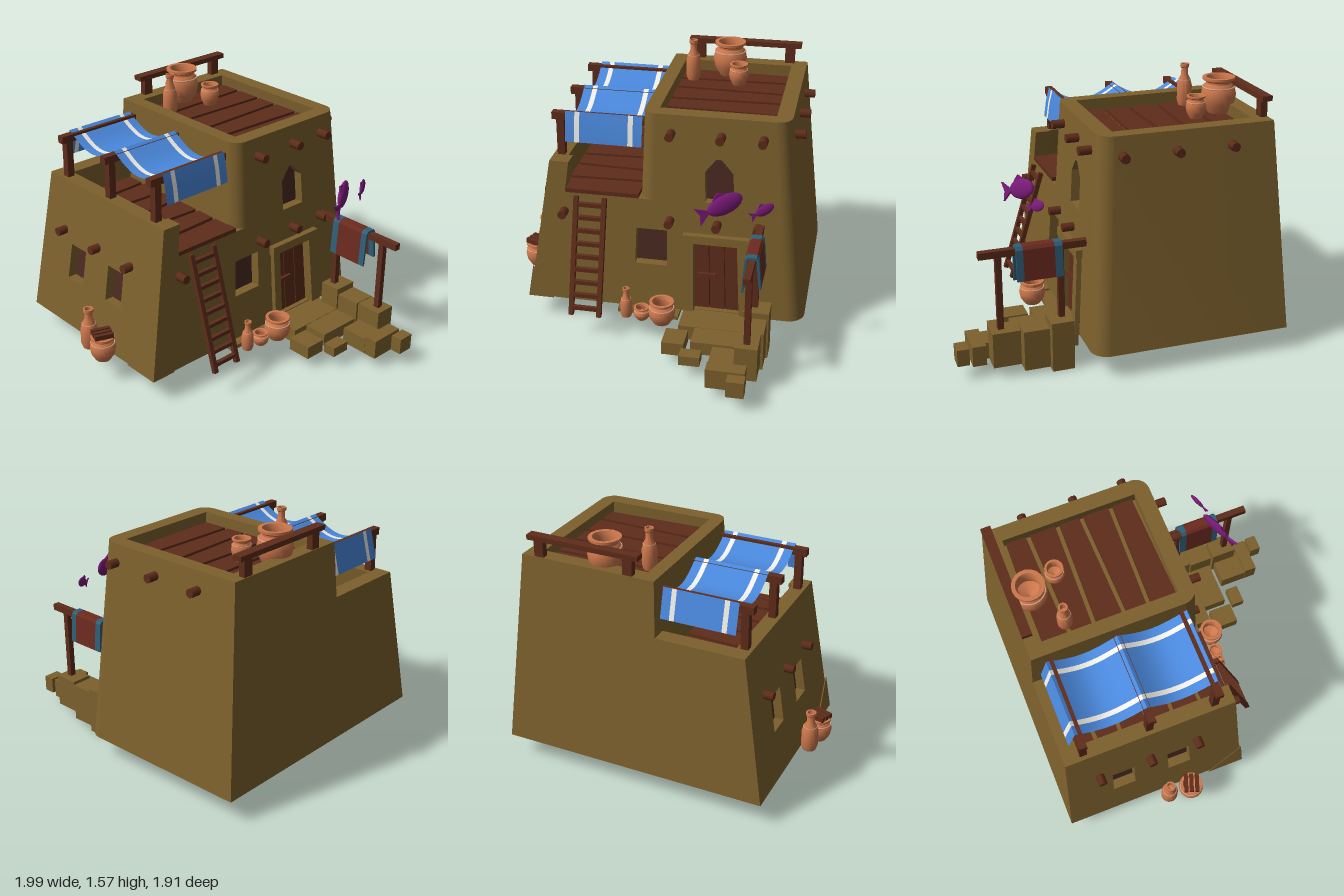
import * as THREE from 'three';
import { toCreasedNormals } from 'three/addons/utils/BufferGeometryUtils.js';
import { ConvexGeometry } from 'three/addons/geometries/ConvexGeometry.js';

const CLAY = 0x7d612d, WOOD = 0x5e2c1a, DARK = 0x4a2a20, POT = 0xcc774c, PALE = 0xe0a888,
  BLUE = 0x4a88dc, WHITE = 0xf0eee8, RED = 0x6b2a1e, TEAL = 0x2f5f78, PURPLE = 0x7a1a78;
const T = 0.11, BASE = 0.14, TOP = 1.38, LOW = 1.04, FLOOR = 0.85;

function add(parent, name, geo, color, double = false) {
  const mat = new THREE.MeshStandardMaterial({ color });
  if (double) mat.side = THREE.DoubleSide;
  const mesh = new THREE.Mesh(geo, mat);
  mesh.name = name;
  parent.add(mesh);
  return mesh;
}

// Box given by its limits on each axis
function box(x0, x1, y0, y1, z0, z1) {
  return new THREE.BoxGeometry(x1 - x0, y1 - y0, z1 - z0)
    .translate((x0 + x1) / 2, (y0 + y1) / 2, (z0 + z1) / 2);
}

// Lean the walls inwards with height
function taper(geo) {
  const p = geo.attributes.position;
  for (let i = 0; i < p.count; i++) {
    const h = p.getY(i) - BASE, x = p.getX(i);
    p.setX(i, x * (1 - (x > 0 ? 0.125 : 0.19) * h));
    p.setZ(i, p.getZ(i) * (1 - 0.11 * h));
  }
  return toCreasedNormals(geo, 0.5);
}

const poly = pts => new THREE.Shape(pts.map(p => new THREE.Vector2(...p)));
const rect = (a, b, c, d) => poly([[a, c], [b, c], [b, d], [a, d]]);
const extrude = (shape, depth) =>
  new THREE.ExtrudeGeometry(shape, { depth, bevelEnabled: false, curveSegments: 8 });

// Side wall ending in a rounded front corner, drawn in plan
function cornerWall(u, s, y0, y1) {
  const r = 0.1, shape = new THREE.Shape();
  shape.moveTo(u, -0.48);
  shape.lineTo(u, 0.49);
  shape.absarc(u - s * r, 0.49, r, s > 0 ? 0 : Math.PI, Math.PI / 2, s < 0);
  shape.lineTo(u - s * r, 0.48);
  shape.lineTo(u - s * T, 0.48);
  shape.lineTo(u - s * T, -0.48);
  return extrude(shape, y1 - y0).rotateX(Math.PI / 2).translate(0, y1, 0);
}

// Square beam between two points
function beam(parent, name, a, b, w) {
  const A = new THREE.Vector3(...a), B = new THREE.Vector3(...b), d = B.clone().sub(A);
  const m = add(parent, name, new THREE.BoxGeometry(w, w, d.length()), WOOD);
  m.position.copy(A).add(B).multiplyScalar(0.5);
  m.quaternion.setFromUnitVectors(new THREE.Vector3(0, 0, 1), d.normalize());
}

// Row of uneven planks laid across a floor
function planks(parent, name, u0, u1, v0, v1, y, n) {
  const w = (v1 - v0) / n;
  for (let i = 0; i < n; i++) {
    const g = new THREE.BoxGeometry(u1 - u0, 0.03, w * 0.84), p = g.attributes.position;
    for (let k = 0; k < p.count; k++)
      p.setZ(k, p.getZ(k) * (1 + (i % 2 ? 0.13 : -0.13) * Math.sign(p.getX(k))));
    g.computeVertexNormals();
    add(parent, name, g, WOOD).position.set((u0 + u1) / 2, y, v0 + w * (i + 0.5));
  }
}

// Clay vessel from a lathe profile scaled to radius and height, with a pale band
const JAR = [[0, 0], [0.6, 0], [0.9, 0.25], [1, 0.5], [0.9, 0.72], [0.72, 0.82], [0.72, 0.87], [0.92, 0.93],
  [0.92, 1], [0.7, 1], [0.6, 0.85], [0.7, 0.5], [0, 0.3]];
const BOTTLE = [[0, 0], [0.8, 0], [1, 0.12], [1, 0.48], [0.8, 0.62], [0.48, 0.74], [0.44, 0.9], [0.6, 0.93],
  [0.6, 1], [0.4, 1], [0.35, 0.8], [0, 0.75]];
function vessel(parent, profile, x, y, z, r, h) {
  const g = new THREE.Group();
  g.name = profile === JAR ? 'jar' : 'bottle';
  const pts = profile.map(([a, b]) => new THREE.Vector2(a * r, b * h));
  add(g, 'vesselBody', toCreasedNormals(new THREE.LatheGeometry(pts, 18), 0.6), POT);
  const [br, bh] = profile === JAR ? [0.9, 0.72] : [0.8, 0.62];
  const band = add(g, 'vesselBand', new THREE.TorusGeometry(br * r, r * 0.05, 5, 18), PALE);
  band.rotation.x = Math.PI / 2;
  band.position.y = bh * h;
  g.position.set(x, y, z);
  parent.add(g);
}

function fish(parent, x, y, z, size, dir) {
  const g = new THREE.Group();
  g.name = 'fish';
  add(g, 'fishBody', new THREE.SphereGeometry(0.5, 14, 10).scale(0.78, 0.42, 0.16), PURPLE).position.x = 0.12;
  const tail = poly([[-0.2, 0], [-0.5, 0.2], [-0.43, 0], [-0.5, -0.2]]);
  add(g, 'fishTail', extrude(tail, 0.05).translate(0, 0, -0.025), PURPLE);
  const fin = poly([[-0.1, 0.17], [0.05, 0.3], [0.25, 0.17]]);
  add(g, 'fishFin', extrude(fin, 0.04).translate(0, 0, -0.02), PURPLE);
  g.scale.setScalar(size);
  g.position.set(x, y, z);
  g.quaternion.setFromUnitVectors(new THREE.Vector3(1, 0, 0), new THREE.Vector3(...dir).normalize());
  parent.add(g);
}

export function createModel() {
  const root = new THREE.Group();
  root.name = 'adobeHouse';
  const house = new THREE.Group();
  house.name = 'house';
  house.rotation.y = THREE.MathUtils.degToRad(20);
  house.position.z = -0.12;
  root.add(house);
  const wall = (name, geo, color = CLAY) => add(house, name, taper(geo), color);

  // Front wall with door, window and arched window
  const front = poly([[-0.84, BASE], [0.74, BASE], [0.74, TOP], [-0.08, TOP], [-0.08, FLOOR],
    [-0.7, FLOOR], [-0.7, LOW], [-0.84, LOW]]);
  front.holes.push(rect(0.18, 0.465, 0.16, 0.6), rect(-0.19, 0.015, 0.43, 0.66),
    poly([[0.26, 0.86], [0.445, 0.86], [0.445, 1.05], [0.37, 1.13], [0.335, 1.13], [0.26, 1.05]]));
  wall('frontWall', extrude(front, T).translate(0, 0, 0.59 - T));
  // Left wall with two slit windows
  const left = rect(-0.48, 0.48, BASE, LOW);
  for (const v of [-0.21, 0.17]) left.holes.push(rect(v - 0.075, v + 0.075, 0.44, 0.66));
  wall('leftWall', extrude(left, T).rotateY(-Math.PI / 2).translate(-0.84 + T, 0, 0));
  // Stepped back wall, side wall and upper storey wall
  const back = poly([[-0.84, BASE], [0.84, BASE], [0.84, TOP], [-0.18, TOP], [-0.18, LOW], [-0.84, LOW]]);
  wall('backWall', extrude(back, T).translate(0, 0, -0.59));
  wall('sideWall', cornerWall(0.84, 1, BASE, TOP));
  wall('upperWall', cornerWall(-0.18, -1, FLOOR - 0.02, TOP));
  // Floors
  wall('baseSlab', box(-0.82, 0.78, BASE, 0.16, -0.57, 0.55));
  wall('terraceFloor', box(-0.8, -0.1, 0.79, FLOOR - 0.005, -0.55, 0.55));
  wall('roofFloor', box(-0.1, 0.75, 1.24, 1.29, -0.5, 0.5));
  planks(house, 'roofPlank', -0.05, 0.64, -0.42, 0.42, 1.3, 5);
  planks(house, 'terracePlank', -0.62, -0.16, -0.47, 0.53, 0.855, 6);
  // Dark window backs and window ledge frame
  wall('windowBack', box(-0.22, 0.04, 0.4, 0.69, 0.49, 0.53), DARK);
  wall('archBack', box(0.24, 0.47, 0.84, 1.15, 0.49, 0.53), DARK);
  wall('slitBack', box(-0.78, -0.74, 0.4, 0.7, -0.3, 0.26), DARK);
  // Crumbled plaster at the front corner
  const crumbs = [[-0.85, 0.14, 0.6], [-0.85, 0.35, 0.6], [-0.85, 0.14, 0.36], [-0.69, 0.14, 0.6],
    [-0.8, 0.27, 0.6], [-0.8, 0.14, 0.5]];
  wall('cornerPlaster', new ConvexGeometry(crumbs.map(p => new THREE.Vector3(...p))));

  // Door with frame
  for (const [a, b] of [[0.13, 0.185], [0.46, 0.53]]) wall('doorPost', box(a, b, 0.14, 0.61, 0.54, 0.62));
  wall('doorLintel', box(0.12, 0.54, 0.61, 0.66, 0.54, 0.63));
  for (let i = 0; i < 3; i++)
    wall('doorPlank', box(0.183 + i * 0.095, 0.273 + i * 0.095, 0.16, 0.595 - 0.008 * i, 0.52, 0.56), WOOD);
  wall('doorBack', box(0.17, 0.48, 0.15, 0.62, 0.49, 0.53), DARK);
  wall('doorBar', box(0.2, 0.32, 0.37, 0.395, 0.56, 0.58), WOOD);

  // Protruding beam ends
  const log = (x, y, z, side) => {
    const m = add(house, 'beamEnd', new THREE.CylinderGeometry(0.027, 0.027, 0.12, 8), WOOD);
    m.position.set(x, y, z);
    if (side) m.rotation.z = Math.PI / 2; else m.rotation.x = Math.PI / 2;
  };
  for (const u of [0.03, 0.32, 0.56]) log(u, 1.27, 0.53, false);
  for (const u of [-0.61, 0.03, 0.31, 0.55]) log(u, 0.73, 0.56, false);
  for (const v of [0.39, 0.075, -0.25]) log(0.725, 1.27, v, true);
  for (const v of [-0.346, -0.02, 0.286]) log(-0.745, 0.73, v, true);

  // Roof railing
  add(house, 'roofRail', box(-0.04, 0.67, 1.48, 1.51, -0.515, -0.455), WOOD);
  for (const u of [0.03, 0.6]) add(house, 'railPost', box(u - 0.03, u + 0.03, 1.37, 1.48, -0.505, -0.465), WOOD);

  // Awning frame
  for (const v of [-0.41, 0, 0.41]) {
    beam(house, 'awningPost', [-0.65, 0.98, v], [-0.65, 1.29, v], 0.045);
    beam(house, 'awningBeam', [-0.7, 1.285, v], [-0.12, 1.285, v], 0.045);
  }
  // Striped awning sagging between the beams, with hanging ends
  const path = [[-0.475, 1.14], [-0.45, 1.24]];
  for (let i = 0; i <= 24; i++) {
    const v = -0.43 + 0.86 * i / 24;
    path.push([v, 1.32 - 0.09 * Math.abs(Math.sin(Math.PI * v / 0.43))]);
  }
  path.push([0.45, 1.24], [0.465, 1.14]);
  const edges = [-0.615, -0.56, -0.53, -0.24, -0.21, -0.155];
  for (let i = 0; i < 5; i++) {
    const g = new THREE.PlaneGeometry(1, 1, 1, path.length - 1), p = g.attributes.position;
    for (let k = 0; k < p.count; k++) {
      const [v, y] = path[path.length - 1 - Math.floor(k / 2)];
      p.setXYZ(k, edges[i + k % 2], y, v);
    }
    add(house, 'awningStrip', toCreasedNormals(g, 0.6), i % 2 ? WHITE : BLUE, true);
  }
  add(house, 'terraceEdge', box(-0.6, -0.16, 0.85, 0.875, 0.48, 0.545), WOOD);

  // Ladder
  for (const s of [-1, 1])
    beam(house, 'ladderRail', [-0.445 + s * 0.085, 0.15, 0.775], [-0.445 + s * 0.085, 0.84, 0.565], 0.028);
  for (let i = 0; i < 9; i++) {
    const t = (i + 0.6) / 9.2, y = 0.15 + 0.69 * t, v = 0.775 - 0.21 * t;
    beam(house, 'ladderRung', [-0.54, y, v], [-0.35, y, v], 0.024);
  }

  // Stone steps and blocks: centre u, v, size u, v, bottom and top
  for (const [u, v, a, b, y0, y1] of [
    [0.324, 0.69, 0.4, 0.19, 0.07, 0.16], [0.363, 0.863, 0.28, 0.15, 0.08, 0.16],
    [0.122, 0.884, 0.13, 0.15, 0.07, 0.15], [0.237, 1.02, 0.12, 0.08, 0.08, 0.14],
    [0.433, 1.06, 0.15, 0.17, 0.07, 0.17], [0.566, 1.04, 0.13, 0.16, 0.07, 0.28],
    [0.467, 1.187, 0.22, 0.08, 0.07, 0.19], [0.535, 1.28, 0.1, 0.07, 0.09, 0.19],
    [0.58, 0.72, 0.15, 0.13, 0, 0.3], [0.575, 0.87, 0.14, 0.15, 0.03, 0.27],
    [-0.2, 0.61, 0.15, 0.07, 0.12, 0.145], [0.0, 0.62, 0.2, 0.1, 0.12, 0.145]])
    add(house, 'stoneBlock', box(u - a / 2, u + a / 2, y0, y1, v - b / 2, v + b / 2), CLAY);

  // Drying rack with draped cloth
  beam(house, 'rackRail', [0.565, 0.735, 0.56], [0.565, 0.735, 1.17], 0.04);
  for (const v of [0.705, 1.06]) beam(house, 'rackPost', [0.565, 0.25, v], [0.565, 0.73, v], 0.035);
  const drape = poly([[-0.055, 0.54], [-0.04, 0.75], [-0.025, 0.768], [0.025, 0.768], [0.04, 0.75], [0.055, 0.57],
    [0.043, 0.57], [0.025, 0.752], [-0.025, 0.752], [-0.043, 0.54]]);
  for (const [a, b, c] of [[0.7, 0.745, TEAL], [0.745, 0.925, RED], [0.925, 0.965, TEAL]])
    add(house, 'drapedCloth', extrude(drape, b - a).translate(0.565, 0, a), c);

  // Jars and bottles on the roof and the ground
  vessel(root, BOTTLE, -0.064, 1.315, -0.36, 0.045, 0.255);
  vessel(root, JAR, 0.09, 1.315, -0.556, 0.105, 0.215);
  vessel(root, JAR, 0.225, 1.315, -0.417, 0.06, 0.135);
  vessel(root, BOTTLE, 0.048, 0.14, 0.615, 0.036, 0.19);
  vessel(root, JAR, 0.144, 0.14, 0.594, 0.05, 0.08);
  vessel(root, JAR, 0.267, 0.14, 0.567, 0.08, 0.145);
  vessel(root, BOTTLE, -0.823, 0.15, 0.246, 0.052, 0.26);
  vessel(root, JAR, -0.783, 0.14, 0.385, 0.078, 0.155);
  for (let i = -1; i <= 1; i++)
    add(root, 'jarLidSlat', box(-0.84, -0.726, 0.295, 0.325, 0.373 + i * 0.035, 0.397 + i * 0.035), WOOD);

  // Hanging fish
  fish(root, 0.65, 1.02, 0.585, 0.27, [0.17, 0.09, -0.19]);
  fish(root, 0.85, 0.995, 0.47, 0.145, [0.08, 0.05, -0.09]);
  return root;
}
